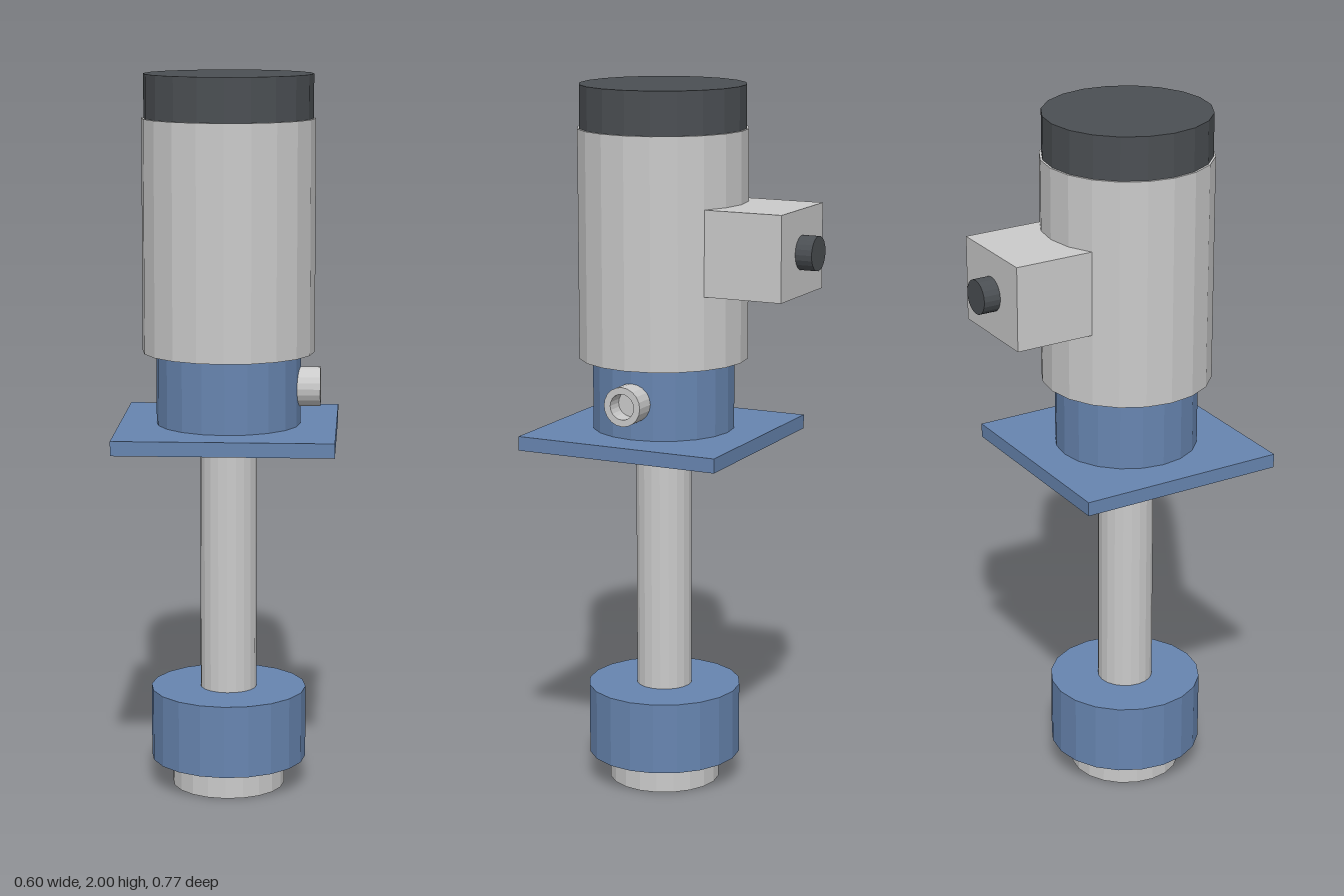
import * as THREE from 'three';

const AXIS_Z = 0.083; // vertical shaft line
const SIDES = 20;

const mat = (name, color) => {
  const m = new THREE.MeshStandardMaterial({ color });
  m.name = name;
  return m;
};

// Faceted normals, one per face
const faceted = (geometry) => {
  const g = geometry.index ? geometry.toNonIndexed() : geometry;
  g.computeVertexNormals();
  return g;
};

export function createModel() {
  const blue = mat('blue paint', 0x6785b0);
  const grey = mat('light grey metal', 0xcacaca);
  const dark = mat('dark grey plastic', 0x4b4f53);

  const model = new THREE.Group();
  model.name = 'verticalPump';

  const add = (name, geometry, material, x, y, z) => {
    const mesh = new THREE.Mesh(faceted(geometry), material);
    mesh.name = name;
    mesh.position.set(x, y, z);
    model.add(mesh);
    return mesh;
  };
  const drum = (name, radius, y0, y1, material) =>
    add(name, new THREE.CylinderGeometry(radius, radius, y1 - y0, SIDES), material, 0, (y0 + y1) / 2, AXIS_Z);

  // Stacked round parts, bottom to top
  drum('inlet', 0.158, 0, 0.08, grey);
  drum('pumpHousing', 0.218, 0.08, 0.283, blue);
  drum('columnPipe', 0.079, 0.283, 1.0, grey);
  drum('motorNeck', 0.2, 1.04, 1.24, blue);
  drum('motorBody', 0.238, 1.24, 1.88, grey);
  drum('fanCover', 0.232, 1.88, 2, dark);

  // Square mounting plate
  add('mountingPlate', new THREE.BoxGeometry(0.6, 0.04, 0.6), blue, 0, 1.02, AXIS_Z);

  // Terminal box on the back, with its cable gland
  add('terminalBox', new THREE.BoxGeometry(0.278, 0.237, 0.28), grey, 0, 1.562, -0.197);
  const gland = new THREE.CylinderGeometry(0.048, 0.048, 0.05, SIDES).rotateX(Math.PI / 2);
  add('cableGland', gland, dark, 0, 1.562, -0.36);

  // Hollow outlet on the side of the neck
  const profile = [[0.055, 0], [0.055, 0.075], [0.036, 0.075], [0.036, 0.025], [0, 0.025]]
    .map(([r, h]) => new THREE.Vector2(r, h));
  const outlet = new THREE.LatheGeometry(profile, SIDES).rotateZ(-Math.PI / 2);
  add('outlet', outlet, grey, 0.18, 1.143, AXIS_Z);

  return model;
}
